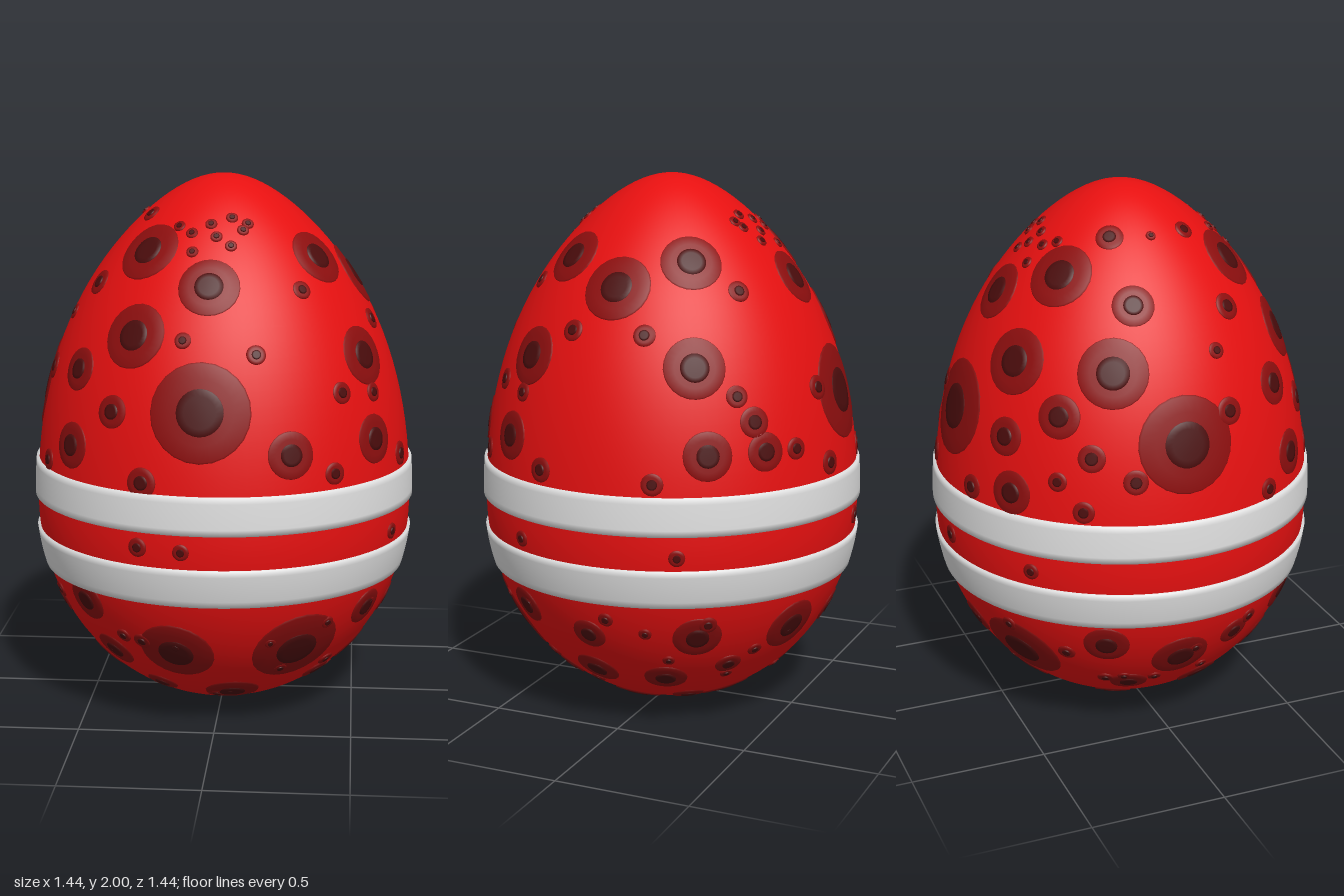
import * as THREE from 'three';
import { mergeGeometries } from 'three/addons/utils/BufferGeometryUtils.js';

const MID = 0.78, WIDE = 0.708, UP = 1.22;

// Egg radius at a given height
function radius(y) {
  if (y <= 0 || y >= 2) return 0;
  const t = y < MID ? (MID - y) / MID : (y - MID) / UP;
  return WIDE * Math.sqrt(1 - t * t) * (y < MID ? 1 : 1 - 0.2 * t ** 4);
}

// Craters as [degrees from the front towards +x, height, radius]
const UPPER = [
  [-3, 1.23, 0.178], [-2, 1.64, 0.11], [-38, 1.745, 0.12], [-29, 1.47, 0.12], [-32, 1.21, 0.06],
  [-51, 1.33, 0.08], [-48, 1.065, 0.085], [24, 1.08, 0.085], [57, 1.72, 0.11], [59, 1.38, 0.11],
  [56, 1.09, 0.09], [90, 1.635, 0.125], [-62, 1.62, 0.05], [-20, 0.98, 0.055],
];
const BACK = [
  [123, 1.72, 0.11], [121, 1.38, 0.11], [124, 1.085, 0.088], [142, 1.085, 0.07], [139, 1.19, 0.055],
  [183, 1.23, 0.178], [182, 1.64, 0.11], [217, 1.74, 0.12], [209, 1.46, 0.12], [246, 1.46, 0.125],
  [254, 1.665, 0.075], [269, 1.215, 0.175], [229, 1.31, 0.078], [211, 1.21, 0.07], [215, 1.02, 0.08],
  [199, 0.99, 0.045], [240, 1.18, 0.05],
];
const LOWER = [
  [-13, 0.33, 0.14], [31, 0.335, 0.168], [-43, 0.28, 0.08], [-45, 0.49, 0.085], [9, 0.12, 0.1],
  [-30, 0.14, 0.06], [58, 0.45, 0.075], [85, 0.4, 0.065], [122, 0.41, 0.09], [158, 0.4, 0.11],
  [210, 0.34, 0.16], [187, 0.39, 0.07], [136, 0.27, 0.05], [111, 0.21, 0.08], [80, 0.22, 0.085],
  [164, 0.055, 0.1], [78, 0.04, 0.09], [193, 0.155, 0.085], [243, 0.08, 0.07], [125, 0.08, 0.06],
  [244, 0.45, 0.085], [270, 0.36, 0.11], [-70, 0.42, 0.06], [-72, 0.18, 0.08], [252, 0.22, 0.07],
  [55, 0.17, 0.055],
];
const SMALL = [
  [76, 1.485, 0.04], [104, 1.485, 0.04], [44, 1.27, 0.04], [134, 1.28, 0.04], [72, 1.0, 0.045],
  [108, 0.99, 0.04], [15, 1.42, 0.035], [-10, 1.465, 0.03], [38, 1.0, 0.04], [38, 1.62, 0.035],
  [142, 1.62, 0.04], [59, 1.25, 0.035], [-62, 0.98, 0.04], [241, 1.86, 0.05], [-61, 1.86, 0.035],
  [-90, 1.86, 0.018], [230, 1.09, 0.035], [238, 0.99, 0.04], [253, 1.1, 0.045], [167, 1.27, 0.045],
  [153, 1.08, 0.04], [168, 1.0, 0.045], [-75, 1.3, 0.05], [-75, 1.5, 0.03],
  [-21, 0.75, 0.035], [-8, 0.745, 0.03], [64, 0.73, 0.03], [115, 0.73, 0.03], [187, 0.75, 0.035], [222, 0.74, 0.03],
];

// Tiny cluster near the top, on front and back
for (const [a, y] of [[-25, 1.83], [-15, 1.81], [-4, 1.84], [0, 1.8], [10, 1.86], [16, 1.82], [20, 1.84], [8, 1.77], [-12, 1.75]])
  SMALL.push([a, y, 0.022], [180 - a, y, 0.022]);

// Seeded sprinkling of tiny craters around the lower half
let seed = 7;
const rand = () => (seed = (seed * 16807) % 2147483647) / 2147483647;
for (let i = 0; i < 30; i++) SMALL.push([i * 137.5, 0.1 + 0.4 * rand(), 0.02 + 0.015 * rand()]);

// Round patch that hugs the egg, with its rim tucked into the shell
function patch([deg, y, r], lift) {
  const a = THREE.MathUtils.degToRad(deg), R = radius(y), e = 0.002;
  const slope = (radius(y + e) - radius(y - e)) / (2 * e);
  const centre = new THREE.Vector3(R * Math.sin(a), y, R * Math.cos(a));
  const n = new THREE.Vector3(Math.sin(a), -slope, Math.cos(a)).normalize();
  const t1 = new THREE.Vector3(Math.cos(a), 0, -Math.sin(a));
  const t2 = new THREE.Vector3().crossVectors(n, t1);
  const SEG = 24, rings = [0.33, 0.66, 0.96, 1];
  const pos = [], index = [];

  const add = (rr, ang, h) => {
    const q = centre.clone().addScaledVector(t1, rr * Math.cos(ang)).addScaledVector(t2, rr * Math.sin(ang));
    let lo = 0, hi = 0.2;
    for (let k = 0; k < 18; k++) {
      const m = (lo + hi) / 2, p = q.clone().addScaledVector(n, -m);
      if (Math.hypot(p.x, p.z) > radius(p.y)) lo = m; else hi = m;
    }
    q.addScaledVector(n, h - lo);
    pos.push(q.x, q.y, q.z);
  };

  add(0, 0, lift);
  rings.forEach((f, i) => {
    for (let s = 0; s < SEG; s++) add(r * f, (s / SEG) * Math.PI * 2, i === 3 ? -0.002 : lift);
  });
  for (let s = 0; s < SEG; s++) {
    const s2 = (s + 1) % SEG;
    index.push(0, 1 + s, 1 + s2);
    for (let i = 0; i < rings.length - 1; i++) {
      const b = 1 + i * SEG, c = b + SEG;
      index.push(b + s, c + s, c + s2, b + s, c + s2, b + s2);
    }
  }
  const g = new THREE.BufferGeometry();
  g.setAttribute('position', new THREE.Float32BufferAttribute(pos, 3));
  g.setIndex(index);
  g.computeVertexNormals();
  return g;
}

export function createModel() {
  const group = new THREE.Group();
  const material = (name, color) => {
    const m = new THREE.MeshStandardMaterial({ color });
    m.name = name;
    return m;
  };
  const red = material('red shell', 0xe61010);
  const darkRed = material('dark red crater', 0x8c0e0e);
  const maroon = material('maroon crater centre', 0x4a0c0c);
  const white = material('white band', 0xe0e0e0);
  const add = (name, geometry, mat) => {
    const mesh = new THREE.Mesh(geometry, mat);
    mesh.name = name;
    group.add(mesh);
  };

  // Egg shell
  const profile = [];
  for (let i = 0; i <= 64; i++) {
    const s = Math.sin((i / 64 - 0.5) * Math.PI);
    const y = MID + s * (s < 0 ? MID : UP);
    profile.push(new THREE.Vector2(radius(y), y));
  }
  add('eggShell', new THREE.LatheGeometry(profile, 96), red);

  // Two raised bands
  for (const [name, y0, y1] of [['lowerBand', 0.54, 0.682], ['upperBand', 0.808, 0.945]]) {
    const pts = [new THREE.Vector2(radius(y0) - 0.01, y0)];
    for (let i = 0; i <= 6; i++) {
      const y = y0 + ((y1 - y0) * i) / 6;
      pts.push(new THREE.Vector2(radius(y) + 0.011, y));
    }
    pts.push(new THREE.Vector2(radius(y1) - 0.01, y1));
    add(name, new THREE.LatheGeometry(pts, 96), white);
  }

  // Craters with darker centres
  const spots = [...UPPER, ...BACK, ...LOWER, ...SMALL];
  add('craters', mergeGeometries(spots.map((s) => patch(s, 0.005))), darkRed);
  add('craterCentres', mergeGeometries(spots.map(([a, y, r]) => patch([a, y, r * 0.48], 0.008))), maroon);

  return group;
}
